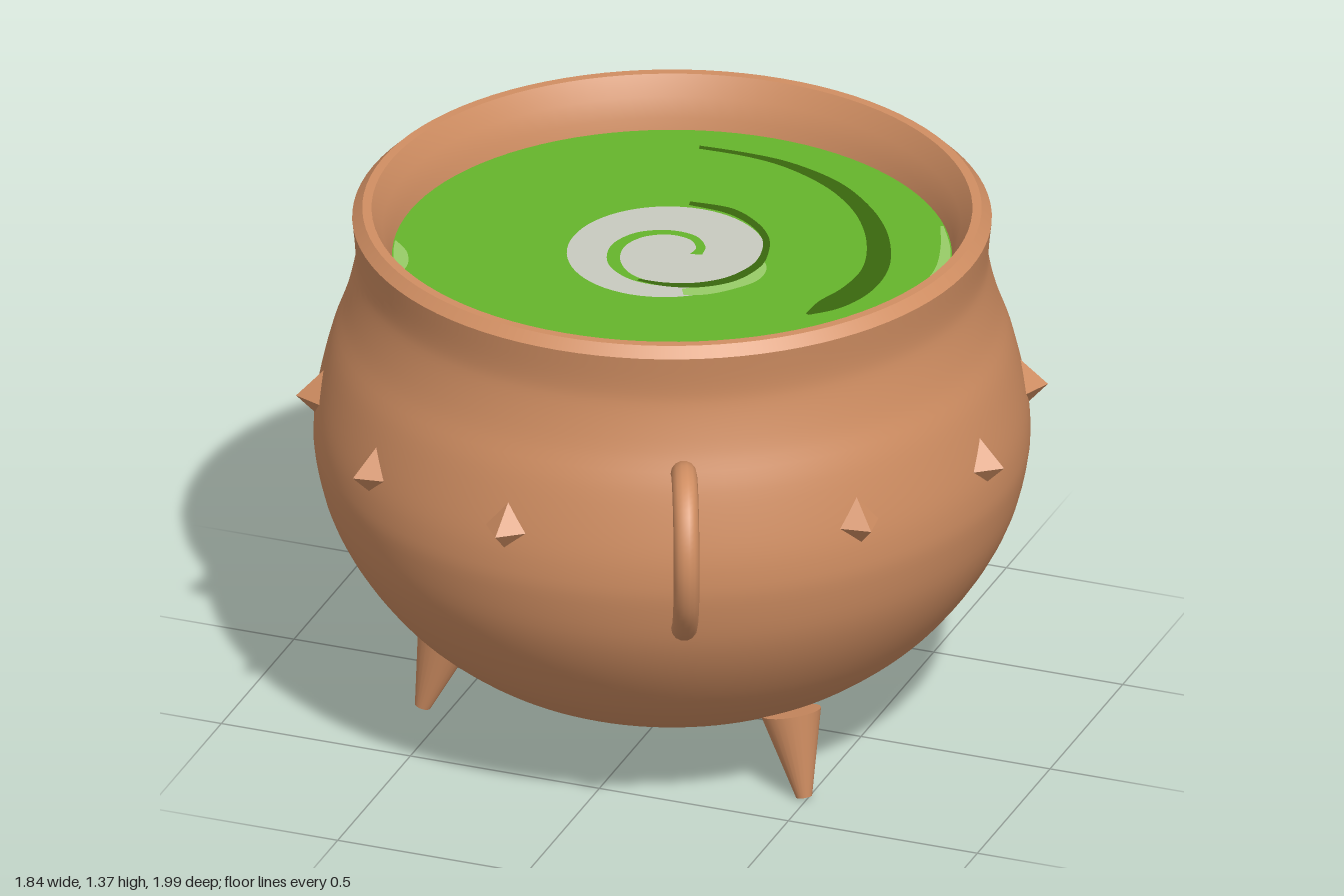
import * as THREE from 'three';

const mat = (name, color, side = THREE.FrontSide) => {
  const m = new THREE.MeshStandardMaterial({ color, side });
  m.name = name;
  return m;
};
const LIQUID_Y = 1.24;
const rad = THREE.MathUtils.degToRad;

export function createModel() {
  const copper = mat('copper', 0xd08e62);
  const green = mat('potionGreen', 0x66b52c);
  const darkGreen = mat('darkGreen', 0x3a680e);
  const lightGreen = mat('lightGreen', 0x98cc68);
  const foam = mat('paleFoam', 0xc8cabf);

  const model = new THREE.Group();
  model.name = 'cauldron';
  const add = (name, geometry, material, parent = model) => {
    const mesh = new THREE.Mesh(geometry, material);
    mesh.name = name;
    parent.add(mesh);
    return mesh;
  };
  // Group whose +x axis points outward at an angle measured from +x towards +z
  const spoke = (name, degrees) => {
    const g = new THREE.Group();
    g.name = name;
    g.rotation.y = -rad(degrees);
    model.add(g);
    return g;
  };
  const v2 = ([x, y]) => new THREE.Vector2(x, y);
  const lathe = (name, pts) => add(name, new THREE.LatheGeometry(pts.map(v2), 96), copper);

  // Pot body, with a smooth bulging profile
  const profile = new THREE.SplineCurve([
    [0.25, 0.13], [0.4, 0.148], [0.5, 0.185], [0.6, 0.25], [0.7, 0.34], [0.79, 0.46],
    [0.85, 0.58], [0.88, 0.7], [0.885, 0.78], [0.875, 0.87], [0.845, 1.0], [0.81, 1.1],
    [0.786, 1.2], [0.782, 1.26], [0.79, 1.345],
  ].map(v2)).getPoints(56).map((p) => [p.x, p.y]);
  lathe('body', [[0, 0.13], ...profile]);

  // Rim: bevel, flat top and inner wall kept apart for crisp edges
  lathe('rimBevel', [[0.79, 1.345], [0.765, 1.37]]);
  lathe('rimTop', [[0.765, 1.37], [0.742, 1.37]]);
  lathe('innerWall', [[0.742, 1.37], [0.715, 1.32], [0.697, 1.27], [0.688, 1.22]]);

  // Ten studs on a ring of twelve places, two of which hold the handles
  for (let i = 0; i < 12; i++) {
    if (i % 6 === 2) continue;
    const stud = add('stud', new THREE.OctahedronGeometry(0.069), copper, spoke('studMount', 7 + i * 30));
    stud.position.set(0.86, 0.868, 0);
  }

  // Two ear-shaped handles
  const ear = new THREE.CatmullRomCurve3([
    [0.78, 1.03], [0.83, 1.05], [0.88, 1.066], [0.94, 1.06], [1.0, 1.02], [1.04, 0.95],
    [1.048, 0.87], [1.02, 0.78], [0.96, 0.705], [0.89, 0.655], [0.82, 0.62],
  ].map(([x, y]) => new THREE.Vector3(x, y, 0)));
  for (const a of [67, 247]) {
    const mount = spoke('handle', a);
    add('handleLoop', new THREE.TubeGeometry(ear, 48, 0.032, 14), copper, mount);
    for (const t of [0, 1]) {
      add('handleEnd', new THREE.SphereGeometry(0.032, 14, 10), copper, mount)
        .position.copy(ear.getPoint(t));
    }
  }

  // Three tapered legs leaning inward towards the top
  const foot = new THREE.Vector3(0.616, 0.006, 0), hip = new THREE.Vector3(0.555, 0.215, 0);
  const legDir = hip.clone().sub(foot);
  for (const a of [37, 157, 277]) {
    const leg = add('leg', new THREE.CylinderGeometry(0.075, 0.02, legDir.length(), 24), copper, spoke('legMount', a));
    leg.position.copy(foot).add(hip).multiplyScalar(0.5);
    leg.quaternion.setFromUnitVectors(new THREE.Vector3(0, 1, 0), legDir.clone().normalize());
  }

  // Liquid surface
  const surface = add('liquid', new THREE.CircleGeometry(0.692, 96).rotateX(-Math.PI / 2), green);
  surface.position.y = LIQUID_Y;

  // Flat painted plate from an outline of (x, z) points
  const plate = (name, outline, material, lift) => {
    const shape = new THREE.Shape(outline.map((p) => new THREE.Vector2(p.x, -p.y)));
    const mesh = add(name, new THREE.ShapeGeometry(shape).rotateX(-Math.PI / 2), material);
    mesh.position.y = LIQUID_Y + lift;
  };
  // Tapering stroke along polar points [degrees, inner radius, outer radius]
  const stroke = (name, pts, material, lift) => {
    const side = (k) => new THREE.SplineCurve(pts.map((p) => new THREE.Vector2(
      p[k] * Math.cos(rad(p[0])), p[k] * Math.sin(rad(p[0]))))).getPoints(pts.length * 6);
    plate(name, [...side(2), ...side(1).reverse()], material, lift);
  };

  // Pale swirl in the middle
  const foamRing = [];
  for (let i = 0; i < 64; i++) {
    const a = (i / 64) * Math.PI * 2;
    foamRing.push(new THREE.Vector2(-0.017 + 0.245 * Math.cos(a), -0.005 + 0.252 * Math.sin(a)));
  }
  plate('foamSwirl', foamRing, foam, 0.003);
  stroke('swirlGlow', [[-15, 0.215, 0.225], [0, 0.215, 0.25], [15, 0.205, 0.26],
    [32, 0.2, 0.25], [48, 0.195, 0.245], [62, 0.2, 0.235]], lightGreen, 0.005);
  stroke('swirlShadow', [[-102, 0.265, 0.285], [-80, 0.255, 0.285], [-60, 0.245, 0.268],
    [-40, 0.235, 0.253], [-20, 0.22, 0.238], [0, 0.208, 0.232], [25, 0.193, 0.222],
    [50, 0.178, 0.205], [75, 0.168, 0.188], [98, 0.168, 0.178]], darkGreen, 0.007);
  stroke('swirlLine', [[-12, 0.045, 0.075], [-45, 0.065, 0.09], [-80, 0.085, 0.11],
    [-115, 0.1, 0.125], [-150, 0.112, 0.142], [-185, 0.122, 0.155], [-220, 0.135, 0.168],
    [-250, 0.155, 0.178], [-275, 0.168, 0.183], [-300, 0.18, 0.19]], green, 0.006);

  // Long dark crescent
  stroke('darkCrescent', [[-104.5, 0.585, 0.602], [-92, 0.568, 0.588], [-80, 0.553, 0.583],
    [-65, 0.53, 0.572], [-50, 0.508, 0.555], [-35, 0.49, 0.545], [-20, 0.48, 0.541],
    [-8, 0.474, 0.54], [4, 0.46, 0.532], [15, 0.448, 0.512], [24, 0.468, 0.478]], darkGreen, 0.003);

  // Light patches lapping against the wall
  stroke('edgeLight', [[-34, 0.68, 0.688], [-24, 0.664, 0.688], [-14, 0.655, 0.688], [-4, 0.642, 0.688],
    [6, 0.652, 0.688], [13, 0.618, 0.688], [20, 0.63, 0.688], [28, 0.61, 0.688], [36, 0.635, 0.688],
    [44, 0.645, 0.688], [52, 0.684, 0.688]], lightGreen, 0.003);
  stroke('edgeLight', [[117, 0.684, 0.688], [124, 0.66, 0.688], [131, 0.665, 0.688],
    [138, 0.655, 0.688], [146, 0.684, 0.688]], lightGreen, 0.003);
  stroke('edgeLight', [[149, 0.684, 0.688], [154, 0.655, 0.688], [160, 0.655, 0.688],
    [165, 0.684, 0.688]], lightGreen, 0.003);
  stroke('edgeLight', [[88, 0.684, 0.688], [93, 0.667, 0.688], [98, 0.684, 0.688]], lightGreen, 0.003);

  return model;
}
